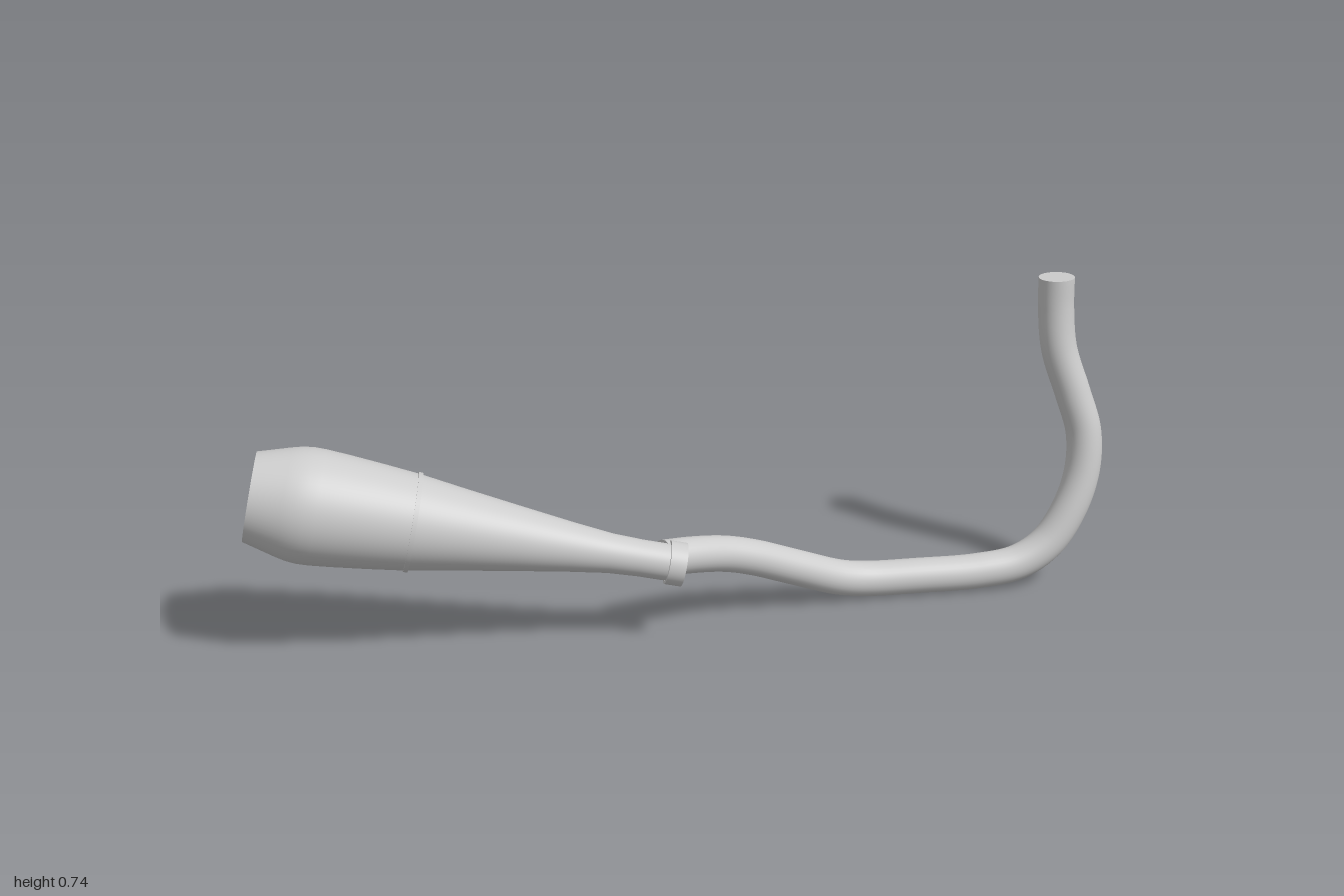
import * as THREE from 'three';

const V = (x, y, z) => new THREE.Vector3(x, y, z);

export function createModel() {
  const model = new THREE.Group();
  model.name = 'exhaust';
  const steel = new THREE.MeshStandardMaterial({ color: 0xcccccc, side: THREE.DoubleSide });
  steel.name = 'brushed steel';

  const add = (parent, name, geometry) => {
    const mesh = new THREE.Mesh(geometry, steel);
    mesh.name = name;
    parent.add(mesh);
    return mesh;
  };

  // Bent header pipe, from the top port down and back to the collar
  const path = new THREE.CatmullRomCurve3([
    V(0.875, 0.742, -0.227), V(0.877, 0.67, -0.226), V(0.888, 0.57, -0.218),
    V(0.925, 0.46, -0.207), V(0.953, 0.37, -0.197), V(0.953, 0.28, -0.183),
    V(0.925, 0.19, -0.165), V(0.87, 0.105, -0.148), V(0.8, 0.061, -0.135),
    V(0.7, 0.046, -0.122), V(0.55, 0.044, -0.107), V(0.43, 0.046, -0.093),
    V(0.36, 0.059, -0.076), V(0.25, 0.103, -0.042), V(0.15, 0.145, -0.008),
    V(0.08, 0.168, 0.02), V(0, 0.186, 0.064), V(-0.065, 0.195, 0.1),
  ]);
  const pipeRadius = 0.042;
  add(model, 'headerPipe', new THREE.TubeGeometry(path, 120, pipeRadius, 32));

  // Flat ends of the pipe
  [['portCap', 0, -1], ['outletCap', 1, 1]].forEach(([name, t, sign]) => {
    const cap = add(model, name, new THREE.CircleGeometry(pipeRadius, 32));
    cap.position.copy(path.getPointAt(t));
    cap.quaternion.setFromUnitVectors(V(0, 0, 1), path.getTangentAt(t).multiplyScalar(sign));
  });

  // Muffler: turned parts along one tilted axis, profiles given as [radius, distance]
  const start = V(-0.02, 0.187, 0.122);
  const axis = V(-0.978, 0.385, 0.14).sub(start).normalize();
  const muffler = new THREE.Group();
  muffler.name = 'muffler';
  muffler.position.copy(start);
  muffler.quaternion.setFromUnitVectors(V(0, 1, 0), axis);
  model.add(muffler);

  const turn = (name, profile) => add(muffler, name,
    new THREE.LatheGeometry(profile.map(([r, s]) => new THREE.Vector2(r, s)), 64));

  turn('mufflerCone', [[0.042, 0.02], [0.042, 0.1], [0.045, 0.17], [0.056, 0.26],
    [0.073, 0.38], [0.092, 0.51], [0.109, 0.62]]);
  turn('mufflerCan', [[0.109, 0.62], [0.118, 0.7], [0.126, 0.78], [0.13, 0.83],
    [0.1305, 0.855], [0.128, 0.88], [0.122, 0.905], [0.101, 0.979]]);
  turn('tailLip', [[0.101, 0.979], [0.097, 0.979]]);
  turn('tailInnerWall', [[0.097, 0.979], [0.118, 0.905], [0.124, 0.86], [0.105, 0.64]]);

  // Raised bands: clamp collar and weld seam, each with square edges
  const band = (name, inner, outer, from, to) => {
    turn(name, [[outer, from], [outer, to]]);
    turn(name + 'FrontEdge', [[inner, from], [outer, from]]);
    turn(name + 'RearEdge', [[outer, to], [inner, to]]);
  };
  band('clampCollar', 0.043, 0.05, 0, 0.038);
  turn('clampCollarBore', [[0.043, 0], [0.043, 0.038]]);
  band('weldSeam', 0.107, 0.1125, 0.612, 0.622);

  return model;
}
